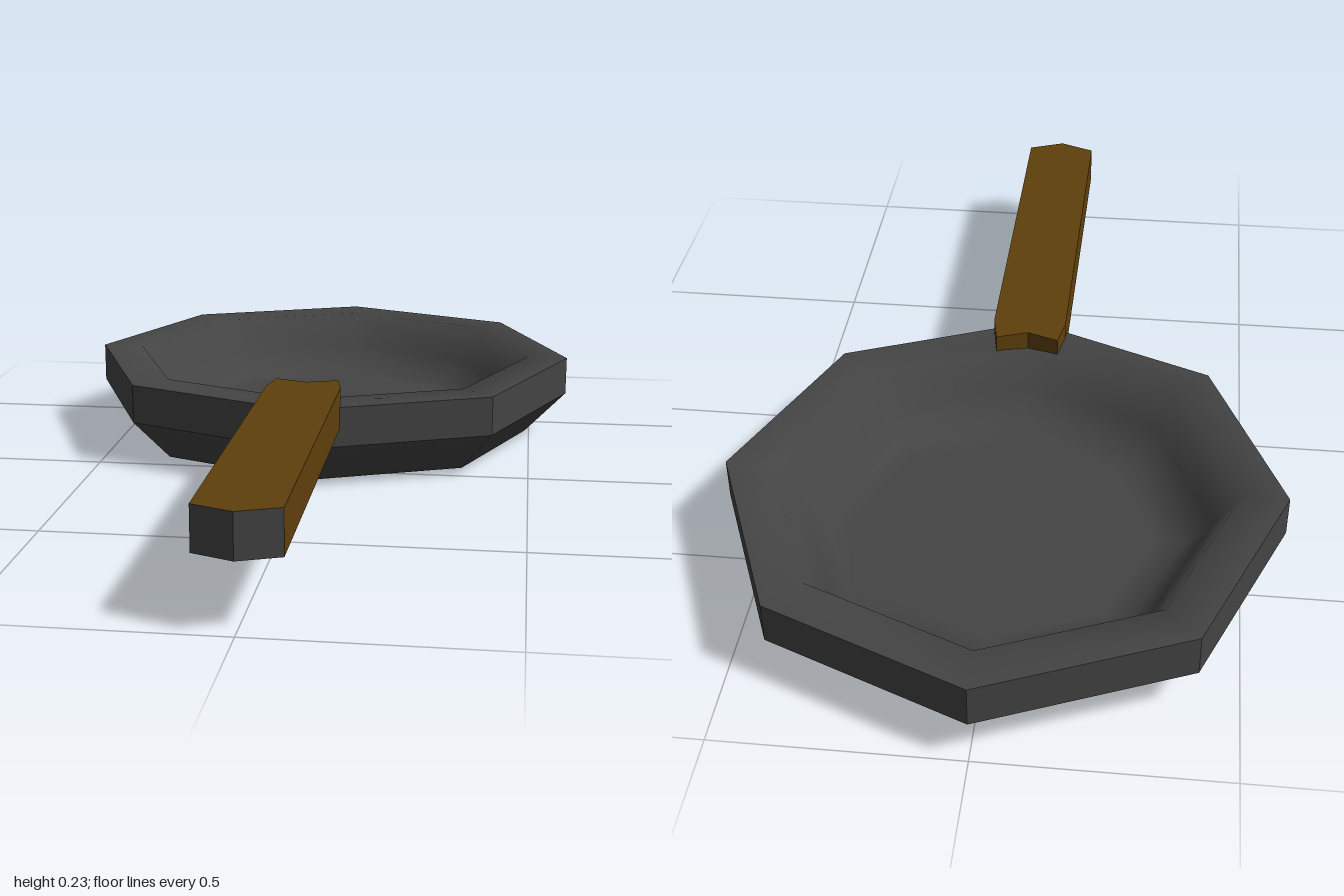
import * as THREE from 'three';
import { mergeVertices } from 'three/addons/utils/BufferGeometryUtils.js';

const SIDES = 8;

// Eight-sided turned surface, either smooth or faceted
function shell(name, profile, material, smooth) {
  let geo = new THREE.LatheGeometry(profile.map(([r, y]) => new THREE.Vector2(r, y)), SIDES);
  geo.deleteAttribute('uv');
  geo.deleteAttribute('normal');
  geo = smooth ? mergeVertices(geo, 1e-4) : geo.toNonIndexed();
  geo.computeVertexNormals();
  const mesh = new THREE.Mesh(geo, material);
  mesh.name = name;
  return mesh;
}

// Notched bar: wooden top, sides and inner end; iron underside and tip
function buildHandle(wood, iron) {
  const half = [[0.083, 0.967], [0.083, 0.12], [0.07, 0.05]];
  const outline = [
    [0, 1], ...half, [0, 0.075],
    ...half.slice().reverse().map(([x, z]) => [-x, z]),
  ].map(([x, z]) => new THREE.Vector2(x, z));
  const extruded = new THREE.ExtrudeGeometry(new THREE.Shape(outline), { depth: 0.09, bevelEnabled: false });
  const geo = extruded.index ? extruded.toNonIndexed() : extruded;
  geo.rotateX(Math.PI / 2);
  geo.translate(0, 0.229, 0);
  geo.computeVertexNormals();

  // Pick each triangle's material from the way it faces
  geo.clearGroups();
  const n = geo.attributes.normal;
  for (let i = 0; i < n.count; i += 3) {
    const isIron = n.getY(i) < -0.5 || n.getZ(i) > 0.5;
    geo.addGroup(i, 3, isIron ? 1 : 0);
  }
  const mesh = new THREE.Mesh(geo, [wood, iron]);
  mesh.name = 'handle';
  return mesh;
}

export function createModel() {
  const iron = new THREE.MeshStandardMaterial({ color: 0x444444 });
  iron.name = 'dark iron';
  const wood = new THREE.MeshStandardMaterial({ color: 0x5f400b });
  wood.name = 'brown wood';

  const model = new THREE.Group();
  model.name = 'fryingPan';

  // Bowl: smooth underside, faceted band, smooth inside with a flat rim and floor
  const bowl = new THREE.Group();
  bowl.name = 'bowl';
  bowl.position.z = -0.412;
  bowl.add(
    shell('underside', [[0, 0], [0.39, 0], [0.49, 0], [0.588, 0.1]], iron, true),
    shell('outerBand', [[0.588, 0.1], [0.588, 0.19]], iron, false),
    shell('inside', [[0.588, 0.19], [0.49, 0.19], [0.435, 0.11], [0.38, 0.05], [0.32, 0.05], [0, 0.05]], iron, true),
  );

  model.add(bowl, buildHandle(wood, iron));
  return model;
}
